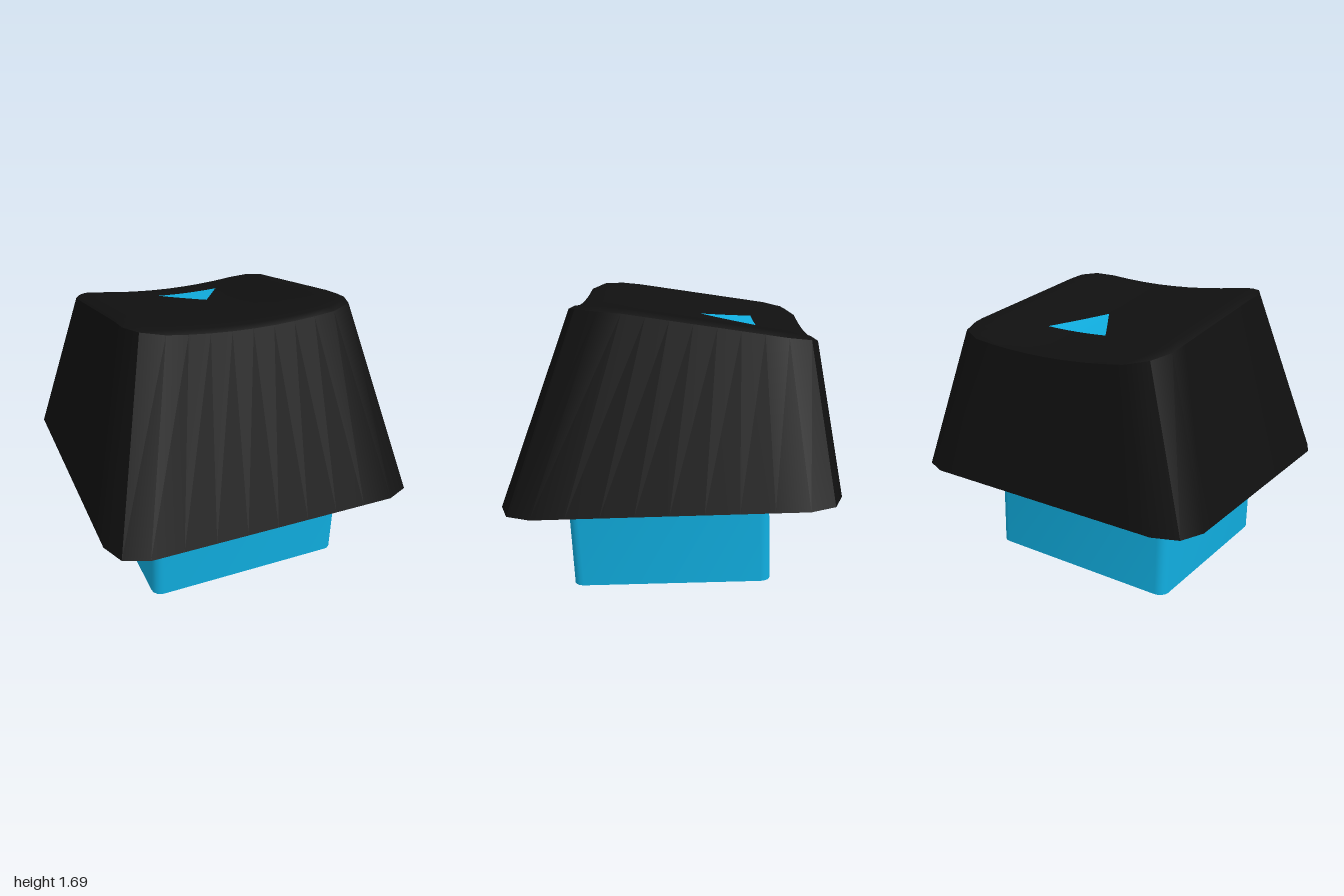
import * as THREE from 'three';
import { toCreasedNormals } from 'three/addons/utils/BufferGeometryUtils.js';

const black = new THREE.MeshStandardMaterial({ color: 0x101010 });
black.name = 'black plastic';
const blue = new THREE.MeshStandardMaterial({ color: 0x10aee0, side: THREE.DoubleSide });
blue.name = 'blue plastic';

// Height of the top: sloping to the back, dished across its width
function topHeight(x, z) {
  const slope = 1.698 + (z - 0.228) * (z > 0.228 ? 0.105 : 0.185);
  return slope + 0.055 * (Math.min(1, (x / 0.64) ** 2) - 1);
}

// Rounded rectangle in x and z, with subdivided straight sides
function outline(hx, hz, r, cornerSteps, sideSteps = 8) {
  const points = [];
  const signs = [[1, 1], [-1, 1], [-1, -1], [1, -1]];
  signs.forEach(([sx, sz], k) => {
    for (let i = 0; i <= cornerSteps; i++) {
      const a = (k + i / cornerSteps) * Math.PI / 2;
      points.push(new THREE.Vector2(sx * (hx - r) + r * Math.cos(a), sz * (hz - r) + r * Math.sin(a)));
    }
    const [nx, nz] = signs[(k + 1) % 4];
    const a = (k + 1) * Math.PI / 2;
    const next = new THREE.Vector2(nx * (hx - r) + r * Math.cos(a), nz * (hz - r) + r * Math.sin(a));
    const last = points[points.length - 1].clone();
    for (let i = 1; i < sideSteps; i++) points.push(last.clone().lerp(next, i / sideSteps));
  });
  return points;
}

// Place an outline at a scale, centre and height
function ring(points, scale, cz, height) {
  return points.map(p => {
    const x = p.x * scale, z = p.y * scale + cz;
    return [x, typeof height === 'number' ? height : height(x, z), z];
  });
}

function loft(rings, crease) {
  const n = rings[0].length, index = [];
  for (let i = 0; i < rings.length - 1; i++) {
    for (let j = 0; j < n; j++) {
      const a = i * n + j, b = i * n + (j + 1) % n;
      index.push(a, a + n, b, b, a + n, b + n);
    }
  }
  const g = new THREE.BufferGeometry();
  g.setAttribute('position', new THREE.Float32BufferAttribute(rings.flat(2), 3));
  g.setIndex(index);
  return toCreasedNormals(g, crease);
}

function addMesh(parent, name, geometry, material) {
  const mesh = new THREE.Mesh(geometry, material);
  mesh.name = name;
  parent.add(mesh);
}

export function createModel() {
  const model = new THREE.Group();
  model.name = 'keycap';
  const body = new THREE.Group();
  body.name = 'tiltedKeycap';
  body.rotation.set(0.043, -0.06, 0);
  model.add(body);

  // Tapered cap with flat underside, rounded rim and dished top
  const base = outline(0.957, 0.956, 0.2, 2);
  const shoulder = outline(0.683, 0.69, 0.18, 2);
  const rim = outline(0.645, 0.655, 0.16, 2);
  const baseZ = -0.027, topZ = -0.19;
  const rings = [
    ring(base, 0, baseZ, 0.618),
    ring(base, 1, baseZ, 0.618),
    ring(shoulder, 1, topZ, (x, z) => topHeight(x, z) - 0.02),
  ];
  for (const s of [1, 0.85, 0.7, 0.55, 0.4, 0.2, 0]) rings.push(ring(rim, s, topZ, topHeight));
  addMesh(body, 'cap', loft(rings, 0.65), black);

  // Thin open skirt below the cap
  const skirt = outline(0.627, 0.593, 0.06, 4, 1);
  addMesh(body, 'skirt', loft([ring(skirt, 1, -0.005, 0.033), ring(skirt, 1, -0.005, 0.63)], 0.6), blue);

  // Triangle mark, following the dish of the top
  const cross = 8, rows = 6, verts = [], faces = [];
  for (let i = 0; i <= rows; i++) {
    for (let j = 0; j <= cross; j++) {
      const x = 0.036 + (j / cross - 0.5) * 0.41 * (1 - i / rows);
      const z = -0.557 + 0.326 * i / rows;
      verts.push(x, topHeight(x, z) + 0.006, z);
      if (i < rows && j < cross) {
        const a = i * (cross + 1) + j, b = a + cross + 1;
        faces.push(a, b, a + 1, a + 1, b, b + 1);
      }
    }
  }
  const mark = new THREE.BufferGeometry();
  mark.setAttribute('position', new THREE.Float32BufferAttribute(verts, 3));
  mark.setIndex(faces);
  mark.computeVertexNormals();
  addMesh(body, 'triangleMark', mark, blue);

  return model;
}
